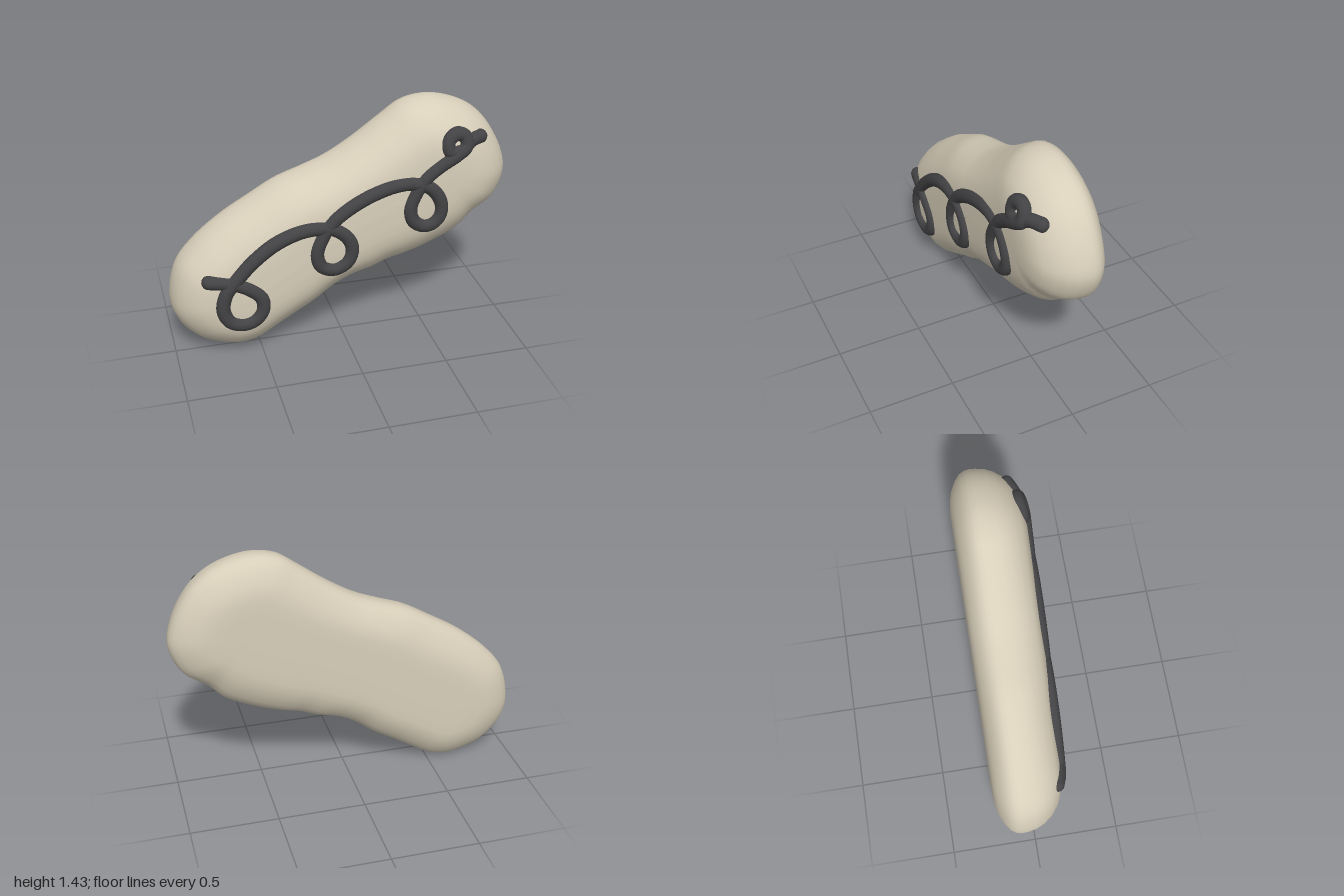
import * as THREE from 'three';

const bodyMaterial = new THREE.MeshStandardMaterial({ color: 0xd8cfba });
bodyMaterial.name = 'cream';
const cordMaterial = new THREE.MeshStandardMaterial({ color: 0x434345 });
cordMaterial.name = 'charcoal';

// Silhouette, counter-clockwise from the left end
const OUTLINE = [
  [-1, 0.4], [-1, 0.28], [-0.95, 0.17], [-0.86, 0.08], [-0.75, 0.03], [-0.62, 0.003], [-0.51, 0.025],
  [-0.42, 0.075], [-0.3, 0.15], [-0.15, 0.24], [-0.045, 0.32], [0.07, 0.375], [0.195, 0.405], [0.28, 0.44],
  [0.39, 0.465], [0.54, 0.515], [0.71, 0.6], [0.8, 0.69], [0.92, 0.775], [0.97, 0.85], [1, 0.965],
  [0.975, 1.08], [0.92, 1.195], [0.85, 1.29], [0.755, 1.365], [0.635, 1.415], [0.505, 1.435], [0.37, 1.41],
  [0.25, 1.33], [0.09, 1.215], [-0.07, 1.12], [-0.205, 1.067], [-0.365, 1.01], [-0.525, 0.92],
  [-0.69, 0.82], [-0.85, 0.69], [-0.955, 0.56],
];

// Centre line the silhouette shrinks towards
const SPINE = [[-0.6, 0.39], [-0.3, 0.56], [0, 0.75], [0.3, 0.88], [0.57, 1.01]];

// Cross-section from flat back to front: [share of the half width, z]
const PROFILE = [
  [0, -0.222], [0.3, -0.222], [0.48, -0.221], [0.6, -0.214], [0.72, -0.2], [0.85, -0.174], [0.94, -0.145],
  [0.985, -0.115], [1, -0.085], [0.995, -0.05], [0.975, 0], [0.92, 0.05], [0.83, 0.1], [0.7, 0.143],
  [0.6, 0.163], [0.5, 0.177], [0.36, 0.187], [0.18, 0.19], [0, 0.191],
];

// Looping line on the front: x, y and, where it follows the rounded rim, z
const CORD = [
  [-0.8, 0.525, 0.15], [-0.68, 0.51, 0.17], [-0.59, 0.475], [-0.51, 0.4], [-0.505, 0.32], [-0.55, 0.26],
  [-0.62, 0.24], [-0.695, 0.27], [-0.73, 0.35], [-0.71, 0.45], [-0.645, 0.535], [-0.55, 0.635],
  [-0.42, 0.73], [-0.28, 0.785], [-0.17, 0.795], [-0.085, 0.78], [-0.005, 0.715], [0.02, 0.635],
  [-0.01, 0.56], [-0.085, 0.525], [-0.16, 0.555], [-0.185, 0.635], [-0.155, 0.73], [-0.095, 0.82],
  [0.01, 0.9], [0.14, 0.965], [0.28, 1.005], [0.385, 1.005], [0.48, 0.965], [0.54, 0.875], [0.54, 0.795],
  [0.5, 0.745], [0.44, 0.735], [0.38, 0.775], [0.36, 0.85], [0.39, 0.94], [0.45, 1.03], [0.54, 1.1],
  [0.625, 1.15], [0.685, 1.195, 0.165], [0.675, 1.25, 0.15], [0.63, 1.268, 0.15], [0.58, 1.235, 0.16],
  [0.585, 1.175, 0.17], [0.65, 1.17, 0.165], [0.72, 1.215, 0.14], [0.785, 1.222, 0.11],
];

function buildBody() {
  const curveOf = (points, closed) =>
    new THREE.CatmullRomCurve3(points.map(([x, y]) => new THREE.Vector3(x, y, 0)), closed);
  const spine = curveOf(SPINE, false).getSpacedPoints(240);
  const count = 200;
  const rim = curveOf(OUTLINE, true).getSpacedPoints(count).slice(0, count);
  const nearest = (p) => spine.reduce((best, q) => (q.distanceToSquared(p) < best.distanceToSquared(p) ? q : best));
  const centres = rim.map(nearest);

  const positions = [];
  const index = [];
  PROFILE.forEach(([share, z], j) => {
    for (let i = 0; i < count; i++) {
      const p = centres[i].clone().lerp(rim[i], share);
      positions.push(p.x, p.y, z);
      if (j === PROFILE.length - 1) continue;
      const a = j * count + i;
      const b = j * count + ((i + 1) % count);
      index.push(a, b, b + count, a, b + count, a + count);
    }
  });
  const geometry = new THREE.BufferGeometry();
  geometry.setAttribute('position', new THREE.Float32BufferAttribute(positions, 3));
  geometry.setIndex(index);
  geometry.computeVertexNormals();
  const body = new THREE.Mesh(geometry, bodyMaterial);
  body.name = 'body';
  return body;
}

function buildCord() {
  const group = new THREE.Group();
  group.name = 'icingLine';
  const radius = 0.042;
  const points = CORD.map(([x, y, z = 0.177]) => new THREE.Vector3(x, y, z));
  const line = new THREE.Mesh(
    new THREE.TubeGeometry(new THREE.CatmullRomCurve3(points), 400, radius, 14, false), cordMaterial);
  line.name = 'loopedLine';
  group.add(line);
  // Rounded ends
  for (const end of [points[0], points[points.length - 1]]) {
    const tip = new THREE.Mesh(new THREE.SphereGeometry(radius, 16, 12), cordMaterial);
    tip.name = 'lineTip';
    tip.position.copy(end);
    group.add(tip);
  }
  return group;
}

export function createModel() {
  const model = new THREE.Group();
  model.name = 'icedPastry';
  model.add(buildBody(), buildCord());
  return model;
}
